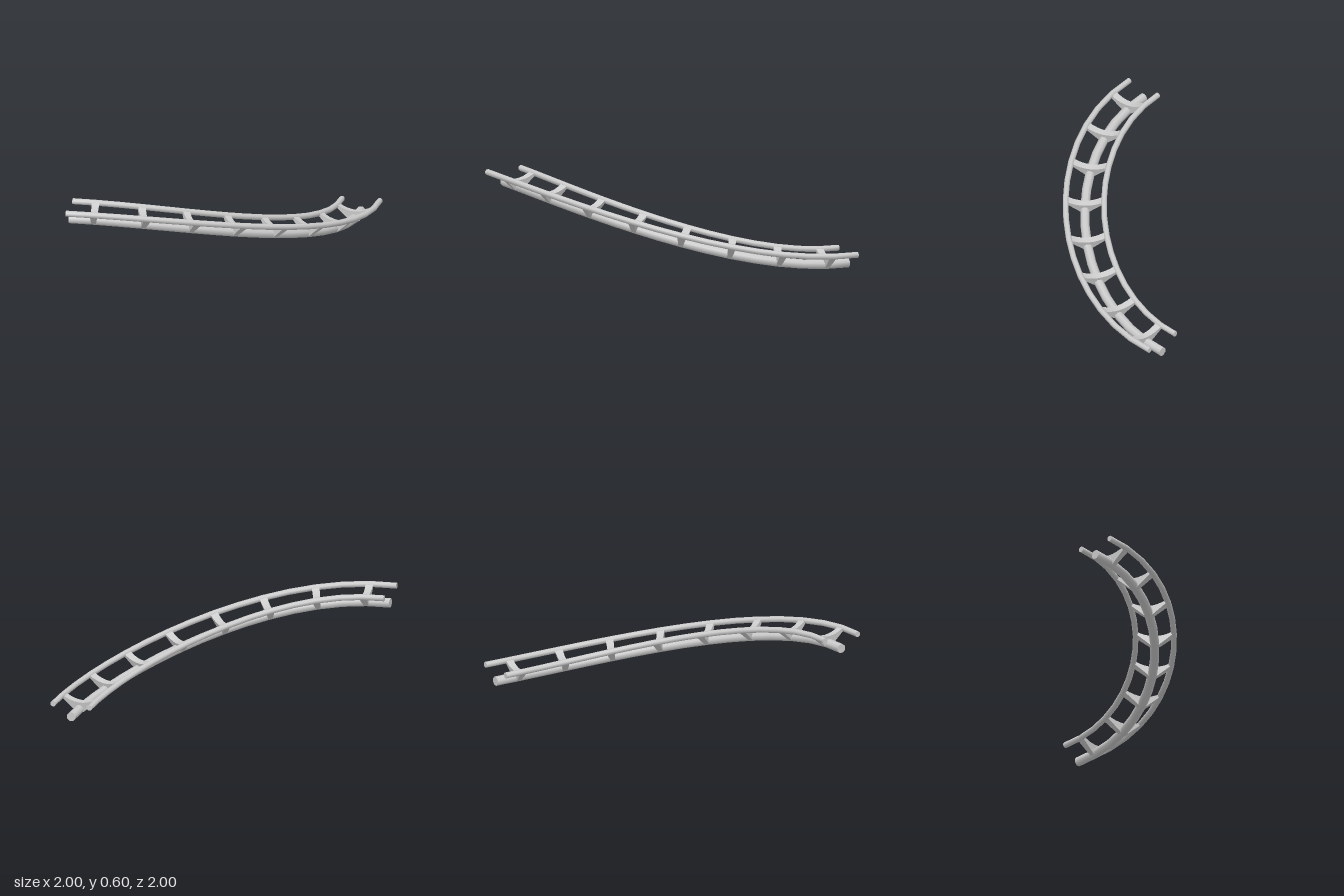
import * as THREE from 'three';
import { toCreasedNormals } from 'three/addons/utils/BufferGeometryUtils.js';

const SEGMENTS = 16, SIDES = 8, TIES = 8;
const GAUGE = 0.14, RAIL_HEIGHT = 0.085, RAIL_RADIUS = 0.022, SPINE_RADIUS = 0.035;

// Centre line: a descending quarter turn, level at both ends
const path = new THREE.CubicBezierCurve3(
  new THREE.Vector3(-1, 0.495, 0.835),
  new THREE.Vector3(-0.065, 0.495, 0.835),
  new THREE.Vector3(0.835, 0.035, -0.065),
  new THREE.Vector3(0.835, 0.035, -1),
);

// Position and axes of the track at u
function frameAt(u) {
  const point = path.getPointAt(u);
  const tangent = path.getTangentAt(u);
  const side = new THREE.Vector3().crossVectors(tangent, new THREE.Vector3(0, 1, 0)).normalize();
  const up = new THREE.Vector3().crossVectors(side, tangent);
  return { point, tangent, side, up };
}

// Capped pipe that follows the track at a sideways and upward offset
function pipe(offsetSide, offsetUp, radius) {
  const positions = [], index = [];
  for (let i = 0; i <= SEGMENTS; i++) {
    const { point, side, up } = frameAt(i / SEGMENTS);
    for (let j = 0; j < SIDES; j++) {
      const a = ((j + 0.5) / SIDES) * Math.PI * 2;
      const p = point.clone()
        .addScaledVector(side, offsetSide + radius * Math.cos(a))
        .addScaledVector(up, offsetUp + radius * Math.sin(a));
      positions.push(p.x, p.y, p.z);
    }
  }
  for (let i = 0; i < SEGMENTS; i++) {
    for (let j = 0; j < SIDES; j++) {
      const a = i * SIDES + j, b = i * SIDES + ((j + 1) % SIDES);
      index.push(a, a + SIDES, b + SIDES, a, b + SIDES, b);
    }
  }
  const last = SEGMENTS * SIDES;
  for (let j = 1; j < SIDES - 1; j++) {
    index.push(0, j, j + 1, last, last + j + 1, last + j);
  }
  const geometry = new THREE.BufferGeometry();
  geometry.setAttribute('position', new THREE.Float32BufferAttribute(positions, 3));
  geometry.setIndex(index);
  return toCreasedNormals(geometry, 1);
}

// Cross tie: a bracket with a dished top, thinner toward the spine
function tieGeometry() {
  const shape = new THREE.Shape();
  shape.moveTo(-0.03, -0.02);
  shape.lineTo(0.03, -0.02);
  shape.lineTo(GAUGE - 0.008, RAIL_HEIGHT - 0.015);
  shape.lineTo(GAUGE - 0.008, RAIL_HEIGHT + 0.01);
  shape.quadraticCurveTo(0, 0.015, -GAUGE + 0.008, RAIL_HEIGHT + 0.01);
  shape.lineTo(-GAUGE + 0.008, RAIL_HEIGHT - 0.015);
  shape.closePath();
  const geometry = new THREE.ExtrudeGeometry(shape, { depth: 1, bevelEnabled: false, curveSegments: 8 });
  geometry.translate(0, 0, -0.5);
  const pos = geometry.attributes.position;
  for (let i = 0; i < pos.count; i++) {
    pos.setZ(i, pos.getZ(i) * (0.04 + 0.2 * pos.getY(i)));
  }
  return toCreasedNormals(geometry, 0.5);
}

export function createModel() {
  const group = new THREE.Group();
  group.name = 'curvedTrack';
  const material = new THREE.MeshStandardMaterial({ color: 0xcccccc });
  const add = (name, geometry) => {
    const mesh = new THREE.Mesh(geometry, material);
    mesh.name = name;
    group.add(mesh);
    return mesh;
  };

  // Spine and running rails
  add('spine', pipe(0, 0, SPINE_RADIUS));
  add('innerRail', pipe(-GAUGE, RAIL_HEIGHT, RAIL_RADIUS));
  add('outerRail', pipe(GAUGE, RAIL_HEIGHT, RAIL_RADIUS));

  // Evenly spaced cross ties
  const tie = tieGeometry();
  for (let i = 0; i < TIES; i++) {
    const { point, tangent, side, up } = frameAt((i + 0.5) / TIES);
    const mesh = add('crossTie' + (i + 1), tie);
    mesh.quaternion.setFromRotationMatrix(new THREE.Matrix4().makeBasis(side, up, tangent.clone().negate()));
    mesh.position.copy(point);
  }
  return group;
}
